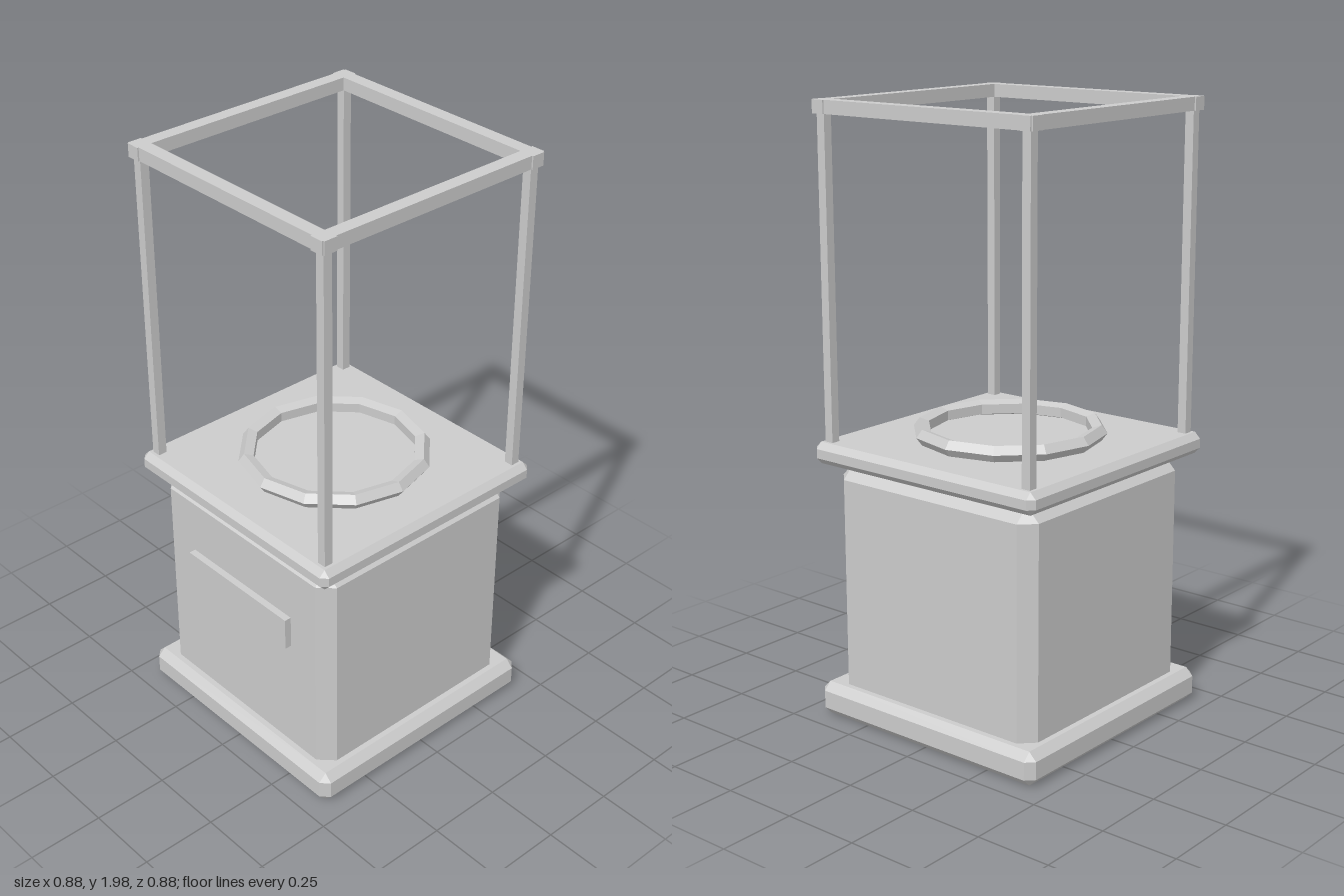
import * as THREE from 'three';
import { ConvexGeometry } from 'three/addons/geometries/ConvexGeometry.js';

const material = new THREE.MeshStandardMaterial({ color: 0xcccccc, flatShading: true });

// Box with every edge and corner cut at 45 degrees
function bevelledBox(w, h, d, bevel) {
  const points = [];
  for (const sx of [-1, 1]) for (const sy of [-1, 1]) for (const sz of [-1, 1]) {
    for (let axis = 0; axis < 3; axis++) {
      const half = [w / 2, h / 2, d / 2].map((v, i) => (i === axis ? v : v - bevel));
      points.push(new THREE.Vector3(sx * half[0], sy * half[1], sz * half[2]));
    }
  }
  return new ConvexGeometry(points);
}

export function createModel() {
  const model = new THREE.Group();
  model.name = 'displayCase';

  const add = (name, geometry, x, y, z) => {
    const mesh = new THREE.Mesh(geometry, material);
    mesh.name = name;
    mesh.position.set(x, y, z);
    model.add(mesh);
    return mesh;
  };

  // Pedestal
  add('basePlinth', bevelledBox(0.88, 0.11, 0.88, 0.026), 0, 0.078, 0);
  add('cabinet', bevelledBox(0.79, 0.79, 0.79, 0.046), 0, 0.473, 0);
  add('tableTop', bevelledBox(0.88, 0.07, 0.88, 0.02), 0, 0.905, 0);
  add('frontPlate', new THREE.BoxGeometry(0.47, 0.11, 0.05), 0, 0.585, 0.393);

  // Faceted ring on the table top
  const ring = add('ring', new THREE.TorusGeometry(0.283, 0.027, 5, 12), 0, 0.965, 0);
  ring.rotation.x = -Math.PI / 2;

  // Open frame: corner posts and top rails
  const r = 0.395;
  for (const sx of [-1, 1]) for (const sz of [-1, 1]) {
    add('post', new THREE.BoxGeometry(0.03, 1.04, 0.03), sx * r, 1.45, sz * r);
  }
  for (const s of [-1, 1]) {
    add('crossRail', new THREE.BoxGeometry(0.845, 0.042, 0.045), 0, 1.979, s * r);
    add('sideRail', new THREE.BoxGeometry(0.045, 0.042, 0.845), s * r, 1.979, 0);
  }
  return model;
}
